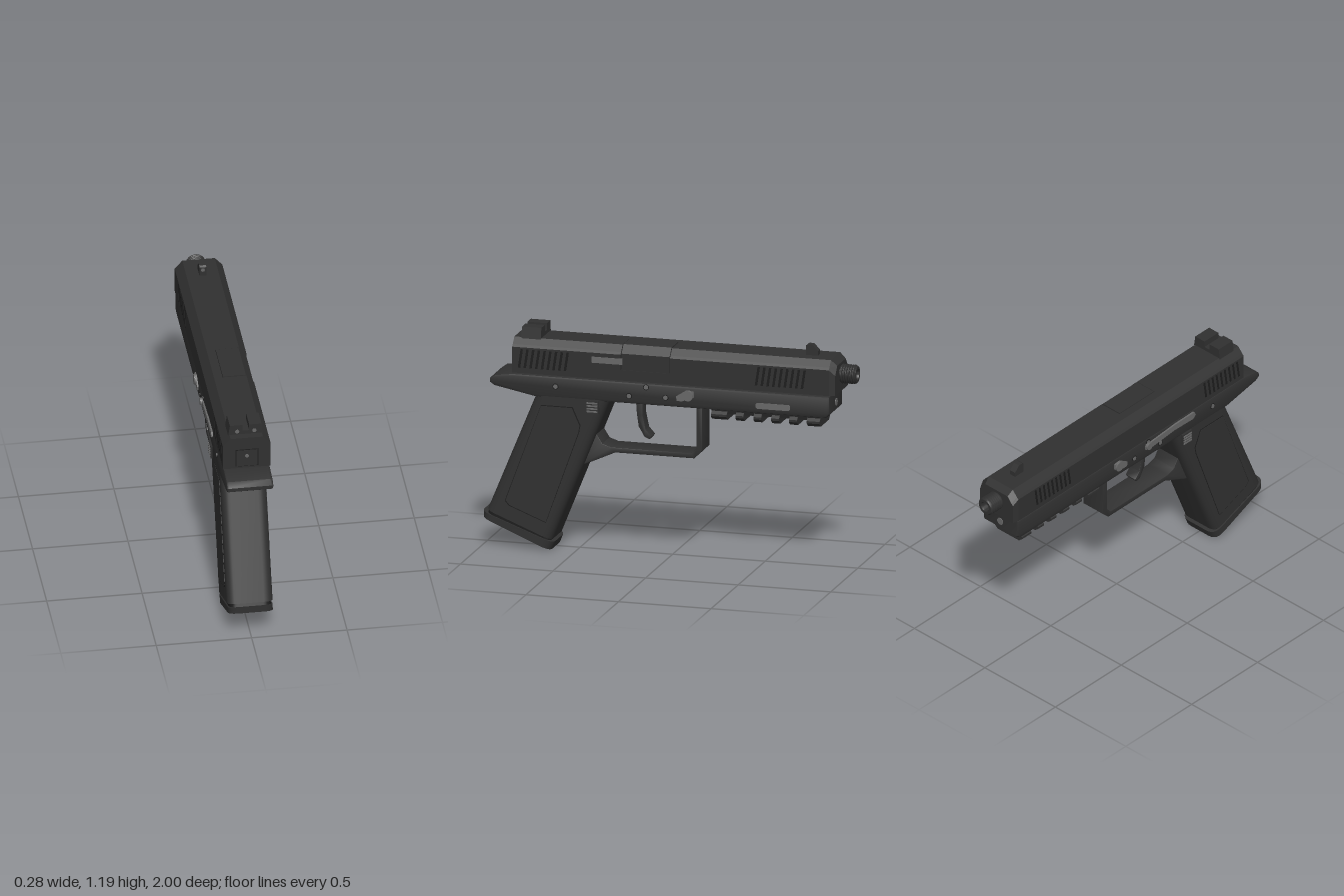
import * as THREE from 'three';
import { toCreasedNormals } from 'three/addons/utils/BufferGeometryUtils.js';

const mat = (name, color) => Object.assign(new THREE.MeshStandardMaterial({ color }), { name });

export function createModel() {
  const root = new THREE.Group();
  root.name = 'pistol';
  const body = mat('charcoal', 0x303030);
  const dark = mat('near black', 0x1c1c1c);
  const steel = mat('grey steel', 0x686868);

  const add = (name, geo, material, parent = root) => {
    const mesh = new THREE.Mesh(geo, material);
    mesh.name = name;
    parent.add(mesh);
    return mesh;
  };
  const toShape = (pts) => new THREE.Shape(pts.map(([a, b]) => new THREE.Vector2(a, b)));

  // Side profile [z, y] extruded across x, from x0 to x1, with softened edges
  const sideSlab = (pts, x0, x1, bevel = 0) => {
    const geo = new THREE.ExtrudeGeometry(toShape(pts.map(([z, y]) => [-z, y])), {
      depth: x1 - x0 - 2 * bevel, bevelEnabled: bevel > 0, bevelSize: bevel,
      bevelThickness: bevel, bevelOffset: -bevel, bevelSegments: 2,
    });
    geo.translate(0, 0, x0 + bevel).rotateY(Math.PI / 2);
    return toCreasedNormals(geo, 0.6);
  };
  // Cross-section [x, y] extruded along z
  const alongZ = (pts, z0, z1) => new THREE.ExtrudeGeometry(toShape(pts),
    { depth: z1 - z0, bevelEnabled: false }).translate(0, 0, z0);
  const box = (name, x0, x1, y0, y1, z0, z1, m, parent) => add(name,
    new THREE.BoxGeometry(x1 - x0, y1 - y0, z1 - z0)
      .translate((x0 + x1) / 2, (y0 + y1) / 2, (z0 + z1) / 2), m, parent);
  const disc = (name, r, x, y, z, axis, m, depth = 0.008) => {
    const geo = new THREE.CylinderGeometry(r, r, depth, 16);
    if (axis === 'x') geo.rotateZ(Math.PI / 2); else geo.rotateX(Math.PI / 2);
    return add(name, geo.translate(x, y, z), m);
  };

  // Rounded section swept between two slanted ends, each given as [front, rear] in [z, y]
  const sweptBlock = (half, r, bottom, top) => {
    const s = new THREE.Shape(), d = 0.38;
    s.moveTo(-half + r, 0).lineTo(half - r, 0).quadraticCurveTo(half, 0, half, r)
      .lineTo(half, d - r).quadraticCurveTo(half, d, half - r, d)
      .lineTo(-half + r, d).quadraticCurveTo(-half, d, -half, d - r)
      .lineTo(-half, r).quadraticCurveTo(-half, 0, -half + r, 0);
    const geo = new THREE.ExtrudeGeometry(s, { depth: 1, bevelEnabled: false, curveSegments: 6 });
    const p = geo.attributes.position, mix = THREE.MathUtils.lerp;
    for (let i = 0; i < p.count; i++) {
      const u = p.getY(i) / d, t = p.getZ(i);
      const at = (k) => mix(mix(bottom[0][k], bottom[1][k], u), mix(top[0][k], top[1][k], u), t);
      p.setXYZ(i, p.getX(i), at(1), at(0));
    }
    // section axes map with x kept, y to z and z to y, so restore the winding
    for (let i = 0; i < p.count; i += 3) {
      const b = [p.getX(i + 1), p.getY(i + 1), p.getZ(i + 1)];
      p.setXYZ(i + 1, p.getX(i + 2), p.getY(i + 2), p.getZ(i + 2));
      p.setXYZ(i + 2, ...b);
    }
    return toCreasedNormals(geo, 0.6);
  };

  // Slide: full sections either side of a cut-out for the chamber
  const slide = new THREE.Group();
  slide.name = 'slide';
  root.add(slide);
  const full = [[-0.125, 0.947], [0.125, 0.947], [0.125, 1.085], [0.115, 1.097], [0.085, 1.13],
    [-0.085, 1.13], [-0.115, 1.097], [-0.125, 1.085]];
  const cut = [[-0.125, 0.947], [0.125, 0.947], [0.125, 1.003], [-0.04, 1.003], [-0.04, 1.13],
    [-0.085, 1.13], [-0.115, 1.097], [-0.125, 1.085]];
  add('slideRear', alongZ(full, 0.245, 0.83), body, slide);
  add('slideMiddle', alongZ(cut, -0.022, 0.245), body, slide);
  add('slideFront', alongZ(full, -0.88, -0.022), body, slide);
  const nose = alongZ(full, -0.912, -0.88);
  const np = nose.attributes.position;
  for (let i = 0; i < np.count; i++) {
    if (np.getZ(i) < -0.9) {
      np.setX(i, np.getX(i) * 0.93);
      if (np.getY(i) > 1) np.setY(i, np.getY(i) - 0.03);
    }
  }
  nose.computeVertexNormals();
  add('slideNose', nose, body, slide);
  add('chamberHood', alongZ([[-0.038, 1.003], [0.12, 1.003], [0.12, 1.09], [0.082, 1.132],
    [-0.038, 1.132]], -0.018, 0.241), body, slide);
  box('extractor', 0.118, 0.129, 1.032, 1.064, 0.235, 0.4, steel, slide);

  // Slanted grip slots on both sides of the slide
  for (const [z0, count] of [[0.8, 9], [-0.48, 9]]) {
    for (let i = 0; i < count; i++) {
      const z = z0 - i * 0.031;
      const slot = [[z, 0.975], [z - 0.013, 0.975], [z - 0.028, 1.075], [z - 0.015, 1.075]];
      for (const x of [-0.126, 0.124]) add('slideSlot', sideSlab(slot, x, x + 0.002), dark, slide);
    }
  }

  // Rear cover plate with its outline
  box('coverPlateOutline', -0.06, 0.06, 0.958, 1.06, 0.828, 0.832, dark, slide);
  box('coverPlate', -0.056, 0.056, 0.962, 1.056, 0.828, 0.835, body, slide);
  disc('coverPlatePin', 0.01, 0, 1.023, 0.834, 'z', steel);

  // Sights
  add('rearSight', alongZ([[-0.092, 1.125], [0.092, 1.125], [0.083, 1.185], [0.018, 1.185],
    [0.018, 1.15], [-0.018, 1.15], [-0.018, 1.185], [-0.083, 1.185]], 0.685, 0.79), body);
  add('frontSight', sideSlab([[-0.725, 1.125], [-0.725, 1.18], [-0.735, 1.187], [-0.76, 1.187],
    [-0.79, 1.155], [-0.79, 1.125]], -0.018, 0.018), body);
  for (const x of [-0.045, 0.045]) disc('rearSightDot', 0.011, x, 1.148, 0.789, 'z', steel);
  disc('frontSightDot', 0.01, 0, 1.165, -0.726, 'z', steel);

  // Threaded barrel end with an open bore
  const profile = [[0.045, 0.88]];
  for (let i = 0; i < 6; i++) {
    const y = 0.915 + i * 0.013;
    profile.push([0.045, y], [0.051, y + 0.004], [0.051, y + 0.008], [0.045, y + 0.012]);
  }
  profile.push([0.048, 0.994], [0.043, 1], [0.028, 1], [0.025, 0.99], [0.025, 0.9], [0, 0.9]);
  const barrel = new THREE.LatheGeometry(profile.map(([r, y]) => new THREE.Vector2(r, y)), 28);
  add('barrel', toCreasedNormals(barrel.rotateX(-Math.PI / 2), 0.5).translate(0, 1.04, 0), body);

  // Frame with rear tang
  add('frame', sideSlab([[0.955, 0.905], [0.925, 0.927], [0.83, 0.94], [-0.882, 0.94],
    [-0.882, 0.845], [-0.86, 0.825], [0.71, 0.825], [0.93, 0.868], [0.955, 0.885]],
  -0.122, 0.122, 0.012), body);
  disc('guideRodEnd', 0.02, 0, 0.885, -0.882, 'z', steel);

  // Accessory rail
  add('railBase', alongZ([[-0.075, 0.797], [0.075, 0.797], [0.09, 0.83], [-0.09, 0.83]],
    -0.82, -0.235), body);
  for (const [z0, z1] of [[-0.32, -0.235], [-0.41, -0.367], [-0.507, -0.464], [-0.603, -0.56],
    [-0.7, -0.656], [-0.822, -0.752]]) {
    add('railTooth', alongZ([[-0.075, 0.766], [0.075, 0.766], [0.098, 0.785], [0.098, 0.797],
      [0.08, 0.812], [-0.08, 0.812], [-0.098, 0.797], [-0.098, 0.785]], z0, z1), body);
  }

  // Trigger and guard
  add('triggerGuard', sideSlab([[0.5, 0.45], [0.455, 0.468], [0.29, 0.543], [-0.136, 0.543],
    [-0.18, 0.586], [-0.18, 0.83], [-0.147, 0.83], [-0.147, 0.596], [-0.12, 0.57],
    [0.313, 0.57], [0.36, 0.586], [0.39, 0.634], [0.43, 0.634]], -0.07, 0.07, 0.004), body);
  add('trigger', sideSlab([[0.19, 0.83], [0.152, 0.83], [0.152, 0.746], [0.136, 0.67],
    [0.104, 0.634], [0.115, 0.618], [0.142, 0.628], [0.174, 0.682], [0.184, 0.75]],
  -0.035, 0.035, 0.004), body);

  // Grip, dark seam and base plate
  add('grip', sweptBlock(0.12, 0.05, [[0.622, 0.06], [0.972, 0.2]], [[0.3, 0.86], [0.7, 0.86]]), body);
  add('gripSeam', sweptBlock(0.11, 0.045, [[0.63, 0.03], [0.975, 0.175]], [[0.632, 0.07], [0.96, 0.21]]), dark);
  add('basePlate', sweptBlock(0.118, 0.055, [[0.63, 0.002], [0.998, 0.157]], [[0.613, 0.045], [0.998, 0.19]]), body);

  // Grip side panels over a thin dark outline
  const panel = [[0.676, 0.783], [0.505, 0.783], [0.463, 0.69], [0.47, 0.65], [0.65, 0.152],
    [0.85, 0.23], [0.872, 0.255]];
  const cz = 0.66, cy = 0.47;
  const inner = panel.map(([z, y]) => [cz + (z - cz) * 0.975, cy + (y - cy) * 0.985]);
  for (const s of [-1, 1]) {
    const span = (a, b) => (s > 0 ? [a, b] : [-b, -a]);
    add('panelOutline', sideSlab(panel, ...span(0.118, 0.121)), dark);
    add('gripPanel', sideSlab(inner, ...span(0.118, 0.123)), body);

    // Ribbed release button
    box('releaseButton', ...span(0.11, 0.131), 0.758, 0.828, 0.362, 0.432, body);
    for (let i = 0; i < 4; i++) {
      const y = 0.766 + i * 0.015;
      box('buttonRib', ...span(0.13, 0.135), y, y + 0.008, 0.368, 0.426, steel);
    }

    // Frame pins
    for (const [z, y] of [[0.597, 0.888], [0.2, 0.867], [0.108, 0.92], [0.003, 0.872]]) {
      disc('framePinRim', 0.016, s * 0.1205, y, z, 'x', dark, 0.006);
      disc('framePin', 0.012, s * 0.121, y, z, 'x', steel, 0.008);
    }

    // Takedown lever
    disc('takedownPivot', 0.028, s * 0.127, 0.893, -0.12, 'x', steel, 0.022);
    add('takedownLever', sideSlab([[-0.055, 0.885], [-0.06, 0.862], [-0.085, 0.86], [-0.15, 0.885],
      [-0.15, 0.915], [-0.11, 0.92]], ...span(0.118, 0.13)), steel);
  }

  // Inset plate on the left, slide stop on the right
  add('insetPlate', sideSlab([[-0.485, 0.857], [-0.492, 0.85], [-0.662, 0.85], [-0.67, 0.857],
    [-0.67, 0.875], [-0.662, 0.882], [-0.492, 0.882], [-0.485, 0.875]], 0.118, 0.125), steel);
  add('slideStop', sideSlab([[0.46, 0.91], [0.45, 0.932], [0.3, 0.93], [0.12, 0.915],
    [0.085, 0.905], [0.085, 0.885], [0.12, 0.88], [0.3, 0.897], [0.44, 0.893]], -0.131, -0.118), steel);
  disc('slideStopPivot', 0.02, -0.13, 0.9, 0.105, 'x', steel, 0.018);

  return root;
}
